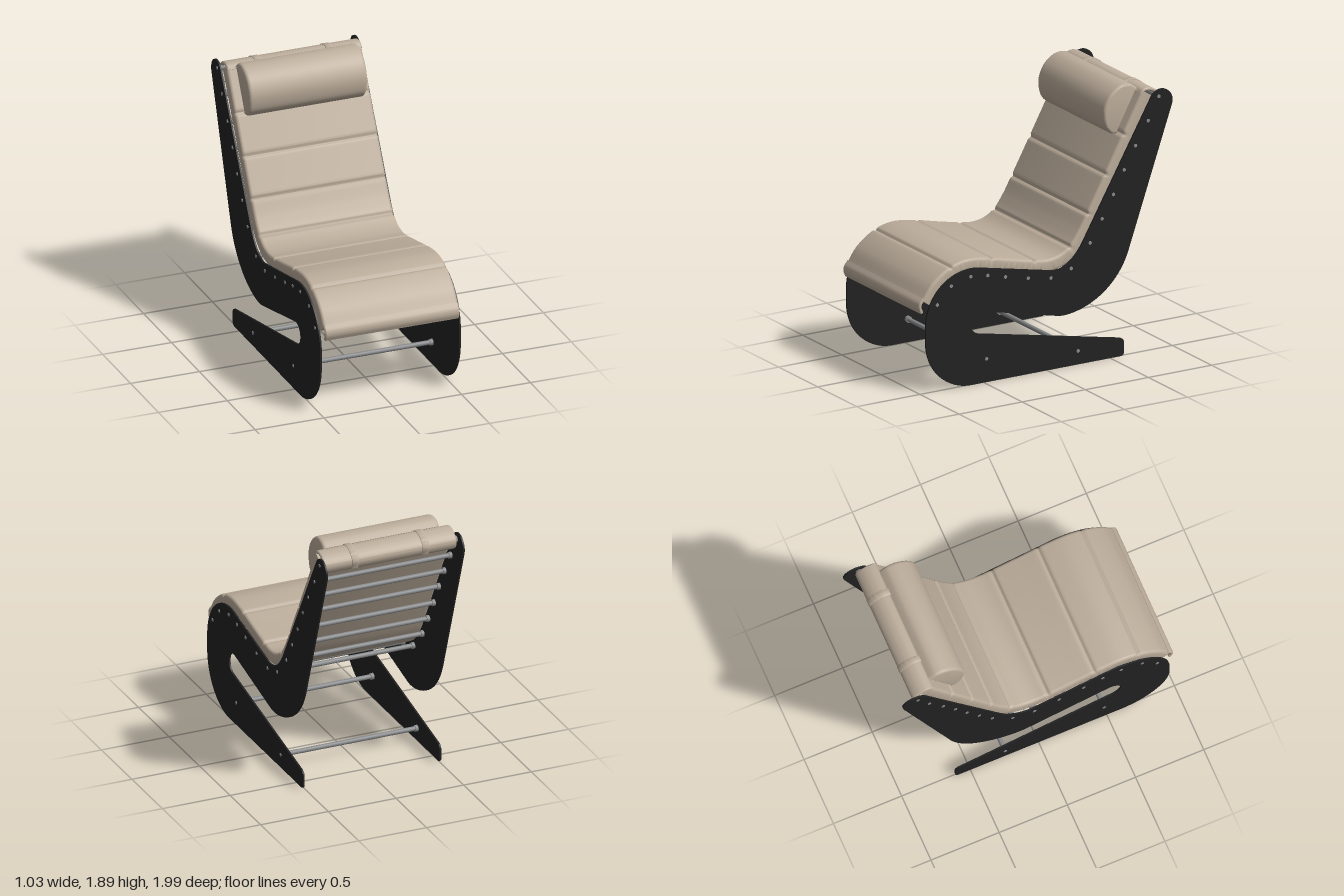
import * as THREE from 'three';
import { toCreasedNormals } from 'three/addons/utils/BufferGeometryUtils.js';

const fabric = new THREE.MeshStandardMaterial({ color: 0xbcad9b });
fabric.name = 'beige fabric';
const board = new THREE.MeshStandardMaterial({ color: 0x222222 });
board.name = 'black board';
const steel = new THREE.MeshStandardMaterial({ color: 0x88898b });
steel.name = 'grey steel';

function add(parent, name, geometry, material) {
  const mesh = new THREE.Mesh(geometry, material);
  mesh.name = name;
  parent.add(mesh);
  return mesh;
}

// Rounded slab swept along a [z, y] path; seams press grooves into its top
function sweep(path, halfWidth, thickness, radius, steps, seams = []) {
  const curve = new THREE.CatmullRomCurve3(path.map(([z, y]) => new THREE.Vector3(0, y, z)));
  const section = [];
  const corners = [[1, -thickness + radius, -90], [1, -radius, 0], [-1, -radius, 90], [-1, -thickness + radius, 180]];
  for (const [side, offset, start] of corners) {
    for (let k = 0; k <= 4; k++) {
      const a = THREE.MathUtils.degToRad(start + k * 22.5);
      section.push([side * (halfWidth - radius) + radius * Math.cos(a), offset + radius * Math.sin(a)]);
    }
  }
  const n = section.length, positions = [], index = [];
  for (let i = 0; i <= steps; i++) {
    const p = curve.getPointAt(i / steps), t = curve.getTangentAt(i / steps);
    let dip = 0;
    for (const [z, y] of seams) dip += 0.013 * Math.exp(-(((p.z - z) ** 2 + (p.y - y) ** 2) / 0.00016));
    for (const [x, o] of section) {
      const d = o > -thickness / 2 ? o - dip : o;
      positions.push(x, p.y - t.z * d, p.z + t.y * d);
    }
  }
  for (let i = 0; i < steps; i++) {
    for (let j = 0; j < n; j++) {
      const a = i * n + j, b = i * n + (j + 1) % n;
      index.push(a, a + n, b, b, a + n, b + n);
    }
  }
  const last = steps * n;
  for (let j = 1; j < n - 1; j++) {
    index.push(0, j, j + 1, last, last + j + 1, last + j);
  }
  const geometry = new THREE.BufferGeometry();
  geometry.setAttribute('position', new THREE.Float32BufferAttribute(positions, 3));
  geometry.setIndex(index);
  return toCreasedNormals(geometry, 0.8);
}

// Side profile drawn in z, y
function panelShape() {
  const s = new THREE.Shape();
  s.moveTo(0.6, 0);
  s.lineTo(-0.58, 0);
  s.quadraticCurveTo(-0.61, 0, -0.61, 0.03);
  s.lineTo(-0.61, 0.09);
  s.quadraticCurveTo(-0.61, 0.124, -0.575, 0.131);
  s.lineTo(0.54, 0.3535);
  s.absarc(0.525, 0.43, 0.078, -1.375, 1.79, false);
  s.lineTo(-0.09, 0.37);
  s.bezierCurveTo(-0.2, 0.35, -0.53, 0.42, -0.645, 0.74);
  s.lineTo(-0.99, 1.72);
  s.absarc(-0.905, 1.75, 0.09, 3.48, 0.52, true);
  s.lineTo(-0.29, 0.87);
  s.bezierCurveTo(-0.2, 0.715, -0.1, 0.685, -0.02, 0.705);
  s.lineTo(0.46, 0.804);
  s.absarc(0.6, 0.466, 0.36, 1.8, 0, true);
  s.lineTo(0.96, 0.36);
  s.absarc(0.6, 0.36, 0.36, 0, -Math.PI / 2, true);
  return s;
}

// Extrude a z, y shape across x, centred
function extrudeAcross(shape, width, options) {
  const g = new THREE.ExtrudeGeometry(shape, { depth: width, bevelEnabled: false, curveSegments: 28, ...options });
  g.translate(0, 0, -width / 2);
  g.rotateY(-Math.PI / 2);
  return toCreasedNormals(g, 0.6);
}

export function createModel() {
  const chair = new THREE.Group();
  chair.name = 'loungeChair';

  // Side panels
  const panel = extrudeAcross(panelShape(), 0.012);
  for (const side of [1, -1]) {
    add(chair, side > 0 ? 'leftSidePanel' : 'rightSidePanel', panel, board).position.x = side * 0.505;
  }

  // Cross rods with inner collars and outer screw heads
  const rods = [
    [0.87, 0.615], [0.76, 0.73], [0.605, 0.77], [0.47, 0.755], [0.33, 0.72], [0.15, 0.68],
    [-0.03, 0.65], [-0.19, 0.69], [-0.34, 0.845], [-0.435, 1.0], [-0.525, 1.157],
    [-0.61, 1.317], [-0.7, 1.473], [-0.8, 1.633], [-0.885, 1.79], [0.48, 0.166], [-0.245, 0.096],
  ];
  const acrossX = (r, length) => new THREE.CylinderGeometry(r, r, length, 16).rotateZ(Math.PI / 2);
  const rodGeometry = acrossX(0.0165, 1.0);
  const collarGeometry = acrossX(0.023, 0.022);
  const screwGeometry = acrossX(0.0125, 0.012);
  for (const [z, y] of rods) {
    const rod = new THREE.Group();
    rod.name = 'crossRod';
    rod.position.set(0, y, z);
    add(rod, 'rodBar', rodGeometry, steel);
    for (const side of [1, -1]) {
      add(rod, 'rodCollar', collarGeometry, steel).position.x = side * 0.488;
      add(rod, 'screwHead', screwGeometry, steel).position.x = side * 0.509;
    }
    chair.add(rod);
  }

  // Quilted seat and back cushion
  const top = [
    [0.972, 0.655], [0.895, 0.76], [0.76, 0.853], [0.625, 0.887], [0.465, 0.873], [0.25, 0.825],
    [0.09, 0.791], [-0.015, 0.777], [-0.11, 0.792], [-0.19, 0.84], [-0.257, 0.925], [-0.327, 1.045],
    [-0.47, 1.3], [-0.615, 1.562], [-0.768, 1.838],
  ];
  const seams = [
    [0.75, 0.858], [0.42, 0.863], [0.08, 0.789], [-0.19, 0.84],
    [-0.33, 1.05], [-0.472, 1.304], [-0.615, 1.562],
  ];
  add(chair, 'cushion', sweep(top, 0.492, 0.093, 0.022, 380, seams), fabric);

  // Fabric wrapped over the top rod, and the lip hanging at the front
  const wrap = [
    [-0.755, 1.825], [-0.775, 1.85], [-0.815, 1.858], [-0.873, 1.838],
    [-0.915, 1.79], [-0.9, 1.735], [-0.835, 1.695],
  ];
  add(chair, 'topWrap', sweep(wrap, 0.49, 0.024, 0.01, 40), fabric);
  const lip = [[0.985, 0.562], [0.999, 0.6], [0.994, 0.635], [0.965, 0.672]];
  add(chair, 'frontLip', sweep(lip, 0.488, 0.024, 0.01, 20), fabric);

  // D-shaped headrest pillow
  const pillow = new THREE.Shape();
  pillow.moveTo(-0.768, 1.848);
  pillow.splineThru([
    [-0.71, 1.885], [-0.63, 1.88], [-0.55, 1.82], [-0.506, 1.725],
    [-0.515, 1.62], [-0.56, 1.558], [-0.605, 1.548],
  ].map(([z, y]) => new THREE.Vector2(z, y)));
  pillow.closePath();
  add(chair, 'headrest', extrudeAcross(pillow, 0.81, {
    bevelEnabled: true, bevelThickness: 0.024, bevelSize: 0.018, bevelOffset: -0.018, bevelSegments: 4, curveSegments: 40,
  }), fabric);

  // Straps holding the headrest over the top edge
  const strap = sweep([[-0.74, 1.845], [-0.775, 1.857], [-0.815, 1.863], [-0.876, 1.842], [-0.92, 1.79], [-0.904, 1.73]],
    0.025, 0.008, 0.003, 24);
  for (const side of [1, -1]) add(chair, 'headrestStrap', strap, fabric).position.x = side * 0.26;

  return chair;
}
